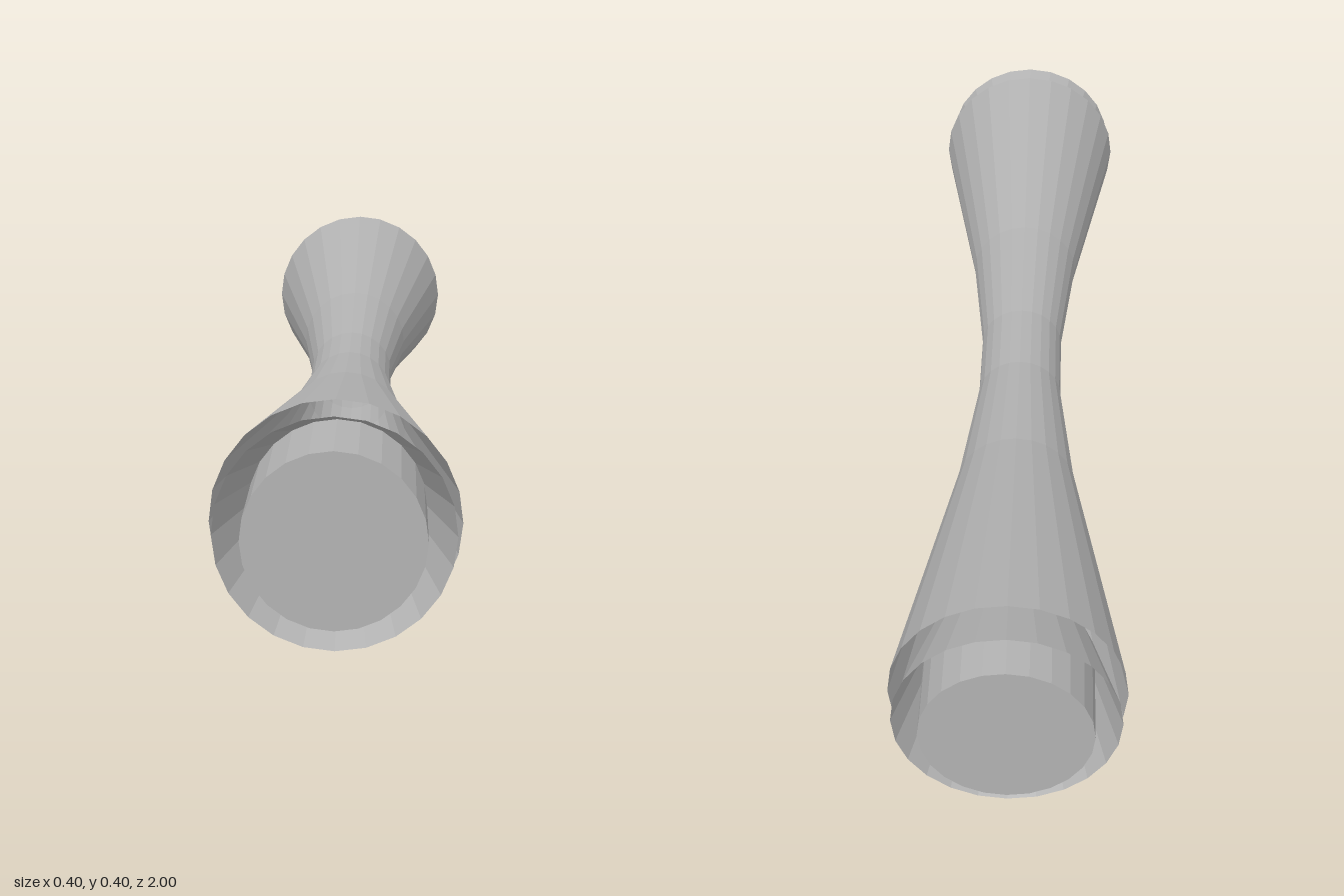
import * as THREE from 'three';

const SIDES = 24;
const AXIS_HEIGHT = 0.202;

export function createModel() {
  const model = new THREE.Group();
  model.name = 'flaredHandle';

  const grey = new THREE.MeshStandardMaterial({ color: 0xb2b2b2, flatShading: true, side: THREE.DoubleSide });
  grey.name = 'plain grey';

  // Turned surface along the z axis; points are [radius, z]
  function turned(name, points, parent) {
    const geometry = new THREE.LatheGeometry(points.map(([r, z]) => new THREE.Vector2(r, z)), SIDES);
    geometry.rotateX(Math.PI / 2);
    const mesh = new THREE.Mesh(geometry, grey);
    mesh.name = name;
    parent.add(mesh);
  }

  // Waisted body, open at both flared ends
  const half = [[0.083, 0.09], [0.112, 0.37], [0.202, 0.905]];
  const mirrored = half.map(([r, z]) => [r, -z]).reverse();
  const body = new THREE.Group();
  body.name = 'body';
  turned('waistedBody', [...mirrored, ...half], body);
  model.add(body);

  // The same end fitting on the front and the back
  for (const [name, turn] of [['frontEnd', 0], ['backEnd', Math.PI]]) {
    const end = new THREE.Group();
    end.name = name;
    // Thin flared collar standing inside the body rim
    turned('collar', [[0.146, 0.82], [0.192, 0.97]], end);
    // Round plug filling the collar
    turned('plug', [[0.146, 0.82], [0.146, 1], [0, 1]], end);
    end.rotation.y = turn;
    model.add(end);
  }

  for (const part of model.children) part.position.y = AXIS_HEIGHT;
  return model;
}
